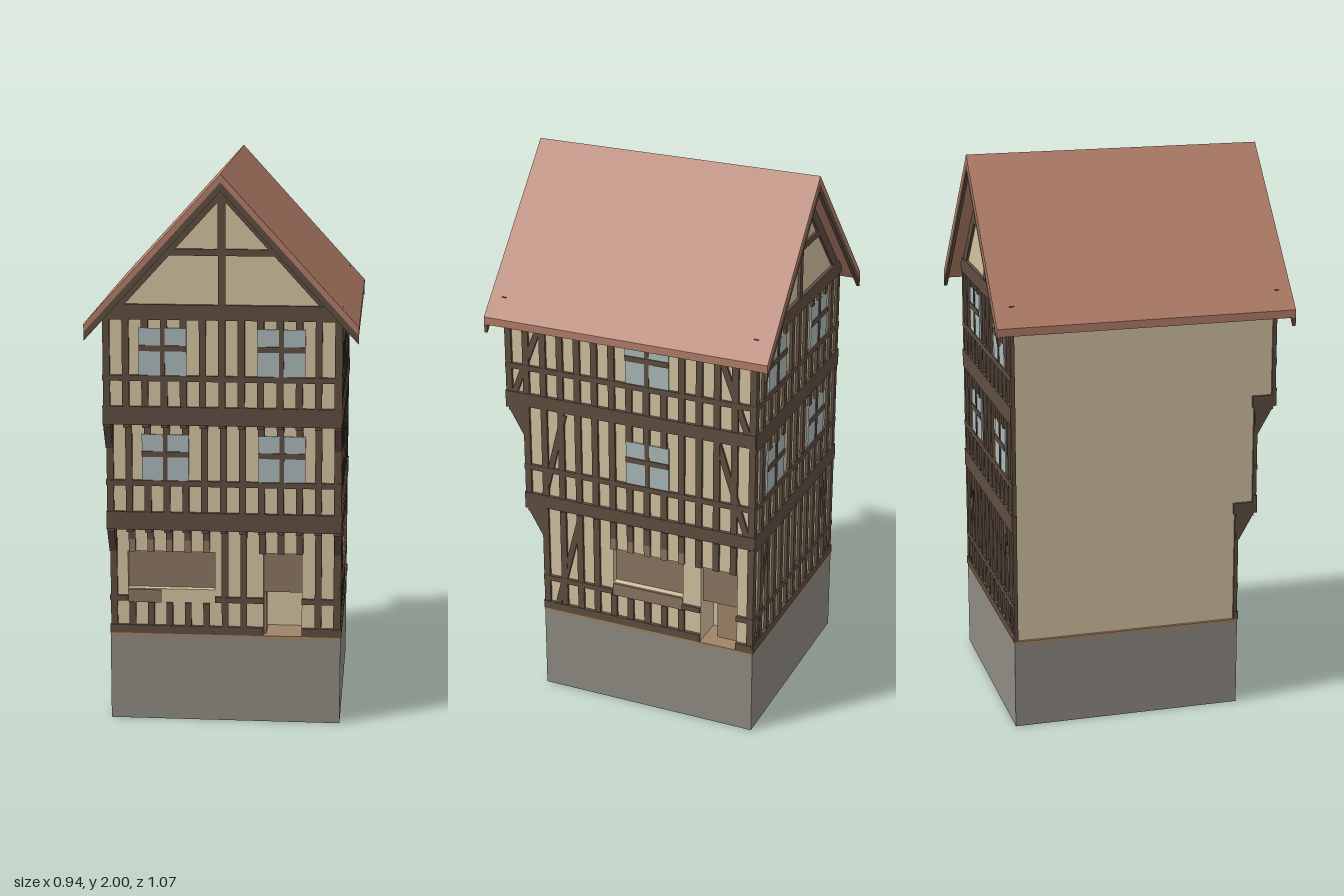
import * as THREE from 'three';

const mat = (name, color) => Object.assign(new THREE.MeshStandardMaterial({ color }), { name });
const plaster = mat('plaster', 0xd3c3a0);
const timber = mat('timber', 0x5f4e41);
const glass = mat('glass', 0xabb8b8);
const stone = mat('stone', 0x8f8b83);
const tile = mat('roofTile', 0xb27e69);
const board = mat('shutterBoard', 0x8c7662);
const tan = mat('doorWood', 0xa08468);

const BACK = -0.475, HALF = 0.415, STEP = 0.0667, SKIN = 0.01;
const FRONT = [0.355, 0.42, 0.485]; // front plane of each storey

function add(parent, name, geometry, material) {
  const m = new THREE.Mesh(geometry, material);
  m.name = name;
  parent.add(m);
  return m;
}

function box(parent, name, material, x0, x1, y0, y1, z0, z1) {
  const m = add(parent, name, new THREE.BoxGeometry(x1 - x0, y1 - y0, z1 - z0), material);
  m.position.set((x0 + x1) / 2, (y0 + y1) / 2, (z0 + z1) / 2);
  return m;
}

function outline(points) {
  return new THREE.Shape(points.map(([x, y]) => new THREE.Vector2(x, y)));
}

function extrude(parent, name, material, shape, depth, z) {
  const m = add(parent, name, new THREE.ExtrudeGeometry(shape, { depth, bevelEnabled: false }), material);
  m.position.z = z;
  return m;
}

// pieces of the interval a..b left after removing the gaps
function pieces(a, b, gaps) {
  const out = [];
  let start = a;
  for (const [g0, g1] of [...gaps].sort((p, q) => p[0] - q[0])) {
    if (g0 > start) out.push([start, Math.min(g0, b)]);
    start = Math.max(start, g1);
  }
  if (start < b) out.push([start, b]);
  return out.filter(([p, q]) => q - p > 0.004);
}

// one storey of timber framing in a facade's own x/y plane; holes are [x0, x1, y0, y1]
function framing(g, { x0, x1, y0, y1, studs, sill, rail, holes = [], braces = [] }) {
  for (const x of studs) {
    const gaps = holes.filter(h => x > h[0] - 0.008 && x < h[1] + 0.008).map(h => [h[2], h[3]]);
    for (const [a, b] of pieces(y0, y1, gaps)) box(g, 'stud', timber, x - 0.012, x + 0.012, a, b, -0.014, 0);
  }
  const beam = (name, a, b, out) => {
    const gaps = holes.filter(h => h[2] < b - 0.011 && h[3] > a).map(h => [h[0], h[1]]);
    for (const [p, q] of pieces(x0, x1, gaps)) box(g, name, timber, p, q, a, b, -0.014, out);
  };
  beam('sillBeam', sill[0], sill[1], 0.003);
  beam('rail', rail - 0.01, rail + 0.01, 0.001);
  for (const [ax, ay, bx, by] of braces) {
    const b = add(g, 'brace', new THREE.BoxGeometry(0.022, Math.hypot(bx - ax, by - ay), 0.012), timber);
    b.position.set((ax + bx) / 2, (ay + by) / 2, -0.007);
    b.rotation.z = -Math.atan2(bx - ax, by - ay);
  }
}

function casement(g, x, y0) {
  const w = 0.0825, y1 = y0 + 0.175, mid = y0 + 0.105;
  box(g, 'windowGlass', glass, x - w, x + w, y0, y1, -0.012, -0.004);
  box(g, 'windowMullion', timber, x - 0.008, x + 0.008, y0, y1, -0.008, -0.001);
  box(g, 'windowTransom', timber, x - w, x + w, mid - 0.01, mid + 0.01, -0.008, 0);
  return [x - w, x + w, y0, y1];
}

// ground floor wall with recessed shop opening and doorway
function shopWall(g, x0, x1, shop, door, ledge) {
  const wall = outline([[x0, 0.31], [x1, 0.31], [x1, 0.74], [x0, 0.74]]);
  for (const [a, b, c, d] of [[...shop, 0.49, 0.63], [...door, 0.32, 0.63]])
    wall.holes.push(outline([[a, c], [a, d], [b, d], [b, c]]));
  extrude(g, 'shopWall', plaster, wall, 0.12, -0.12 - SKIN);
  box(g, 'shopShutter', board, shop[0], shop[1], 0.49, 0.63, -0.055, -0.035);
  box(g, 'shopLedge', board, ledge[0], ledge[1], 0.44, 0.487, -0.012, -0.004);
  box(g, 'upperDoor', board, door[0], door[1], 0.48, 0.63, -0.055, -0.035);
}

function facade(parent, name, x, z, turn) {
  const g = new THREE.Group();
  g.name = name;
  g.position.set(x, 0, z);
  g.rotation.y = turn;
  parent.add(g);
  return g;
}

const LEVELS = [
  { y0: 0.325, y1: 0.74, sill: [0.325, 0.355], rail: 0.455 },
  { y0: 0.75, y1: 1.14, sill: [0.73, 0.795], rail: 0.9 },
  { y0: 1.14, y1: 1.5, sill: [1.125, 1.19], rail: 1.29 },
];

export function createModel() {
  const house = new THREE.Group();
  house.name = 'timberFramedHouse';

  // foundation and floor plate
  box(house, 'foundation', stone, -HALF, HALF, 0, 0.312, BACK, FRONT[0]);
  box(house, 'floorPlate', tan, -HALF, HALF, 0.312, 0.325, BACK, FRONT[0]);

  // plaster bodies of the three storeys
  const wx = HALF - SKIN, wb = BACK + SKIN;
  box(house, 'groundBody', plaster, -wx, wx - 0.12, 0.32, 0.74, wb, FRONT[0] - SKIN - 0.12);
  box(house, 'middleBody', plaster, -wx, wx, 0.735, 1.13, wb, FRONT[1] - SKIN);
  const gable = outline([[-wx, 1.13], [wx, 1.13], [wx, 1.52], [0, 1.965], [-wx, 1.52]]);
  extrude(house, 'topBodyAndGables', plaster, gable, FRONT[2] - SKIN - wb, wb);

  // front and back framing
  const studs = [];
  for (let i = -6; i <= 6; i++) studs.push(i * STEP);
  const shopF = [-0.35, -0.037], doorF = [0.137, 0.275];
  for (const side of ['front', 'back']) {
    const isFront = side === 'front';
    LEVELS.forEach((level, i) => {
      const g = facade(house, side + 'Storey' + (i + 1), 0, isFront ? FRONT[i] : BACK, isFront ? 0 : Math.PI);
      let holes = [], braces = [];
      if (i > 0) holes = [-0.205, 0.205].map(x => casement(g, x, level.rail));
      else if (isFront) {
        shopWall(g, -wx, wx, shopF, doorF, [-0.35, -0.23]);
        holes = [[...shopF, 0.44, 0.675], [...doorF, 0.32, 0.63]];
        for (const x of studs.filter(s => s > shopF[0] && s < shopF[1]))
          box(g, 'shutterHanger', board, x - 0.012, x + 0.012, 0.63, 0.675, -0.014, 0);
        // lower door leaf swung inward
        box(g, 'lowerDoor', tan, doorF[0] + 0.001, doorF[0] + 0.01, 0.325, 0.48, -0.128, -0.025);
      } else braces = [-1, 1].map(s => [s * 0.37, 0.35, s * 0.28, 0.735]);
      framing(g, { ...level, x0: -HALF, x1: HALF, studs, holes, braces });

      // gable framing above the top storey
      if (i === 2) {
        box(g, 'tieBeam', timber, -HALF, HALF, 1.495, 1.548, -0.014, 0.003);
        box(g, 'kingPost', timber, -0.013, 0.013, 1.54, 1.95, -0.014, 0);
        box(g, 'collarBeam', timber, -0.22, 0.22, 1.717, 1.74, -0.014, -0.001);
        const rafters = outline([[0, 1.968], [-0.405, 1.525], [-0.355, 1.525], [0, 1.914], [0.355, 1.525], [0.405, 1.525]]);
        extrude(g, 'gableRafters', timber, rafters, 0.012, -0.013);
      }
    });
  }

  // framing of the +x side, where local x runs towards the back
  const sideBraces = [
    [[-0.3, 0.35, -0.2, 0.735]],
    [[-0.345, 0.79, -0.26, 1.13], [0.445, 0.79, 0.335, 1.13]],
    [[-0.455, 1.18, -0.335, 1.49], [0.445, 1.18, 0.33, 1.49]],
  ];
  const shopS = [-0.075, 0.2], doorS = [0.27, 0.41];
  LEVELS.forEach((level, i) => {
    const g = facade(house, 'sideStorey' + (i + 1), HALF, 0, Math.PI / 2);
    const x0 = -FRONT[i], sideStuds = [x0 + 0.013];
    for (let x = 0.463; x > x0 + 0.04; x -= STEP) sideStuds.push(x);
    let holes;
    if (i > 0) holes = [casement(g, 0.065, level.rail)];
    else {
      shopWall(g, x0 + 0.13, -wb, shopS, doorS, shopS);
      holes = [[...shopS, 0.44, 0.675], [...doorS, 0.32, 0.63]];
      for (const x of sideStuds.filter(s => s > shopS[0] && s < shopS[1]))
        box(g, 'shutterHanger', board, x - 0.012, x + 0.012, 0.63, 0.675, -0.014, 0);
      box(g, 'lowerDoor', tan, 0.315, doorS[1], 0.325, 0.48, -0.075, -0.06);
    }
    const sill = i ? [level.sill[0] + 0.015, level.sill[1]] : level.sill;
    framing(g, { ...level, sill, x0, x1: -BACK, studs: sideStuds, holes, braces: sideBraces[i] });
  });

  // jetties: bressummer, joist ends and corner brackets
  for (const i of [1, 2]) {
    const y = LEVELS[i].sill[0], z0 = FRONT[i - 1], z1 = FRONT[i];
    box(house, 'jettyBeam', timber, -HALF, HALF, y, y + 0.04, z0 - 0.02, z1);
    for (const x of studs) box(house, 'joistEnd', timber, x - 0.012, x + 0.012, y - 0.012, y, z0 - 0.01, z1 - 0.008);
    for (const x of [-HALF, HALF - 0.025]) {
      // local x of the profile points to the front
      const b = extrude(house, 'jettyBracket', timber,
        outline([[z0 - 0.01, y - 0.1], [z0, y - 0.1], [z1 - 0.008, y], [z0 - 0.01, y]]), 0.025, 0);
      b.rotation.y = -Math.PI / 2;
      b.position.x = x + 0.025;
    }
  }

  // roof slopes and bargeboards
  const chevron = (top, thick) => outline([[0, top], [-0.47, top - 0.515], [-0.47, top - 0.515 - thick],
    [0, top - thick], [0.47, top - 0.515 - thick], [0.47, top - 0.515]]);
  extrude(house, 'roof', tile, chevron(2, 0.028), 1.065, -0.5325);
  for (const z of [-0.5325, 0.5205]) extrude(house, 'bargeboard', timber, chevron(1.972, 0.03), 0.012, z);

  return house;
}
